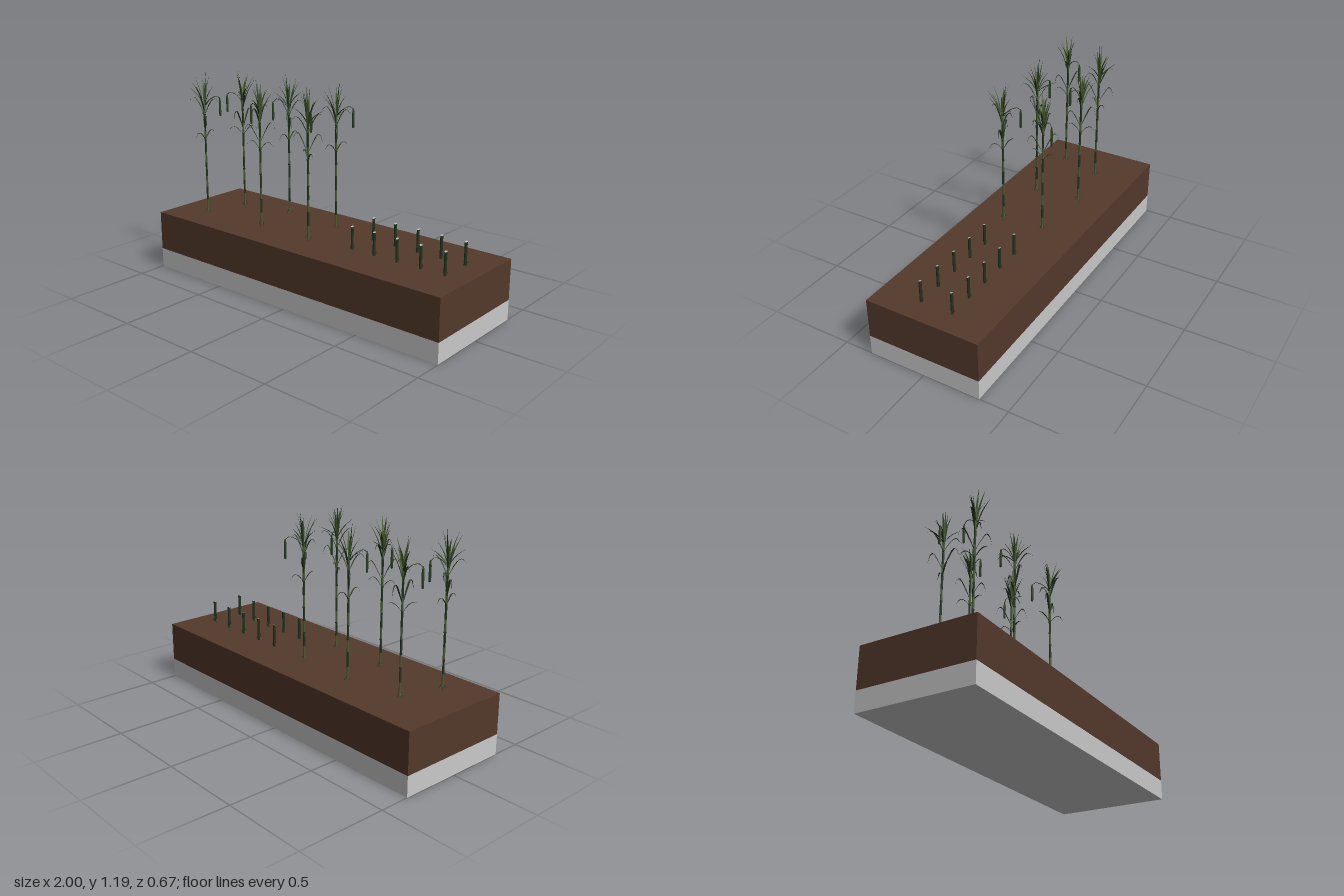
import * as THREE from 'three';

const mat = (name, color, side = THREE.FrontSide) => {
  const m = new THREE.MeshStandardMaterial({ color, side });
  m.name = name;
  return m;
};

export function createModel() {
  const soil = mat('soil brown', 0x53392b);
  const stone = mat('base grey', 0xc9c9c9);
  const darkStem = mat('dark stem green', 0x24331f);
  const lightStem = mat('light stem green', 0x4b5c33);
  const leafDark = mat('dark leaf green', 0x2a3a20, THREE.DoubleSide);
  const leafLight = mat('light leaf green', 0x455a2b, THREE.DoubleSide);
  const husk = mat('husk green', 0x2f4224);
  const cut = mat('cut stem pale', 0xbcc4b0);

  const model = new THREE.Group();
  const add = (parent, name, geometry, material, x = 0, y = 0, z = 0) => {
    const mesh = new THREE.Mesh(geometry, material);
    mesh.name = name;
    mesh.position.set(x, y, z);
    parent.add(mesh);
    return mesh;
  };

  // Folded, tapered blade following [reach, height] points along the local +x direction
  function blade(points, width, steps = 8) {
    const curve = new THREE.CatmullRomCurve3(points.map(([r, y]) => new THREE.Vector3(r, y, 0)));
    const pos = [], idx = [];
    for (let i = 0; i <= steps; i++) {
      const t = i / steps, p = curve.getPoint(t);
      const w = width / 2 * Math.min(1, 0.45 + t * 2.2) * Math.min(1, (1 - t) * 1.8 + 0.03);
      pos.push(p.x, p.y, p.z - w, p.x + w * 0.35, p.y - w * 0.35, p.z, p.x, p.y, p.z + w);
      if (i === steps) continue;
      for (let k = 0; k < 2; k++) {
        const a = i * 3 + k;
        idx.push(a, a + 1, a + 3, a + 1, a + 4, a + 3);
      }
    }
    const g = new THREE.BufferGeometry();
    g.setAttribute('position', new THREE.Float32BufferAttribute(pos, 3));
    g.setIndex(idx);
    g.computeVertexNormals();
    return g;
  }

  // Soil bed on its base slab
  add(model, 'baseSlab', new THREE.BoxGeometry(2, 0.115, 0.666), stone, 0, 0.0575, 0);
  add(model, 'soilBed', new THREE.BoxGeometry(2, 0.23, 0.666), soil, 0, 0.23, 0);

  // Shared plant geometry
  const stemBottom = 0.36, stemTop = 1.02, segments = 9;
  const segLen = (stemTop - stemBottom) / segments;
  const segGeo = new THREE.CylinderGeometry(0.0058, 0.0064, segLen, 8);
  const nodeGeo = new THREE.CylinderGeometry(0.0068, 0.0068, 0.008, 8);
  const rootGeo = blade([[0.004, 0.375], [0.013, 0.366], [0.018, 0.345]], 0.004, 4);
  const low = blade([[0.004, 0.8], [0.035, 0.838], [0.062, 0.846], [0.088, 0.822]], 0.009);
  const mid = blade([[0.004, 0.845], [0.035, 0.91], [0.06, 0.948], [0.078, 0.935], [0.09, 0.89]], 0.011);
  const high = blade([[0.004, 0.95], [0.04, 1.02], [0.07, 1.045], [0.1, 1.02]], 0.011);
  const crown = [
    [0.022, 1.19], [0.05, 1.175], [0.105, 1.07], [0.04, 1.15], [0.08, 1.13], [0.035, 1.18],
    [0.095, 1.1], [0.055, 1.14], [0.03, 1.16], [0.075, 1.15], [0.06, 1.12],
  ].map(([r, y], i) => {
    const start = 0.96 + (i % 4) * 0.02;
    return blade([[0.002, start], [r * 0.4, start + (y - start) * 0.55], [r, y]], 0.012, 6);
  });
  const cobGeo = new THREE.LatheGeometry(
    [[0, 0], [0.006, 0.004], [0.007, 0.03], [0.007, 0.085], [0.004, 0.108], [0, 0.115]]
      .map(([r, y]) => new THREE.Vector2(r, y)), 8);
  const cobStalkGeo = new THREE.TubeGeometry(new THREE.CatmullRomCurve3([
    new THREE.Vector3(0, 0.99, 0), new THREE.Vector3(0.04, 1.035, 0),
    new THREE.Vector3(0.08, 1.047, 0), new THREE.Vector3(0.098, 1.03, 0),
  ]), 10, 0.0018, 5);

  function tallPlant(x, z, angle) {
    const plant = new THREE.Group();
    plant.name = 'tallPlant';
    plant.position.set(x, 0, z);
    plant.rotation.y = angle;
    model.add(plant);

    // Jointed stem
    for (let i = 0; i < segments; i++) {
      add(plant, 'stemSegment', segGeo, i % 2 ? darkStem : lightStem, 0, stemBottom + segLen * (i + 0.5), 0);
      if (i) add(plant, 'stemJoint', nodeGeo, darkStem, 0, stemBottom + segLen * i, 0);
    }
    // Prop roots
    for (let i = 0; i < 6; i++) add(plant, 'root', rootGeo, leafDark).rotation.y = i * Math.PI / 3;
    // Opposed arching leaves
    [[low, 0.5], [mid, 1.3], [high, 2.2]].forEach(([geo, a]) => {
      for (const turn of [0, Math.PI]) add(plant, 'archingLeaf', geo, leafDark).rotation.y = a + turn;
    });
    // Upright crown, spread by the golden angle
    crown.forEach((geo, i) => {
      add(plant, 'crownLeaf', geo, i % 2 ? leafLight : leafDark).rotation.y = i * 2.4 + 0.4;
    });
    // Hanging cob
    add(plant, 'cobStalk', cobStalkGeo, darkStem);
    add(plant, 'cob', cobGeo, husk, 0.098, 0.925, 0);
  }

  // Each plant: x, z, and the direction its cob hangs (dx, dz)
  [
    [-0.705, -0.09, -0.09, 0.04], [-0.775, 0.152, 0.035, -0.095],
    [-0.38, -0.142, -0.04, 0.092], [-0.355, 0.125, -0.095, -0.029],
    [0, -0.114, 0.056, -0.082], [0.008, 0.133, -0.045, -0.075],
  ].forEach(([x, z, dx, dz]) => tallPlant(x, z, Math.atan2(-dz, dx)));

  // Cut stumps with a slanted pale top
  const slant = 0.35, stumpR = 0.008, stumpH = 0.128;
  const stumpGeo = new THREE.CylinderGeometry(stumpR, stumpR, stumpH, 10, 1, true);
  const capGeo = new THREE.CircleGeometry(stumpR, 10, Math.PI / 2).rotateX(-Math.PI / 2);
  const shear = (g, test) => {
    const p = g.attributes.position;
    for (let i = 0; i < p.count; i++) if (test(p.getY(i))) p.setY(i, p.getY(i) - p.getZ(i) * slant);
    g.computeVertexNormals();
  };
  shear(stumpGeo, y => y > 0);
  shear(capGeo, () => true);
  const sproutGeo = blade([[0.004, 0.345], [0.012, 0.364], [0.022, 0.352]], 0.006, 4);

  for (const z of [0.088, -0.1]) {
    for (let i = 0; i < 5; i++) {
      const x = 0.28 + i * 0.1465;
      const stump = new THREE.Group();
      stump.name = 'stump';
      stump.position.set(x, 0, z);
      model.add(stump);
      add(stump, 'stumpStem', stumpGeo, darkStem, 0, 0.345 + stumpH / 2, 0);
      add(stump, 'stumpCut', capGeo, cut, 0, 0.345 + stumpH, 0);
      for (const a of [0.2, 1.6, 2.9]) add(stump, 'sprout', sproutGeo, leafDark).rotation.y = a;
    }
  }
  return model;
}
